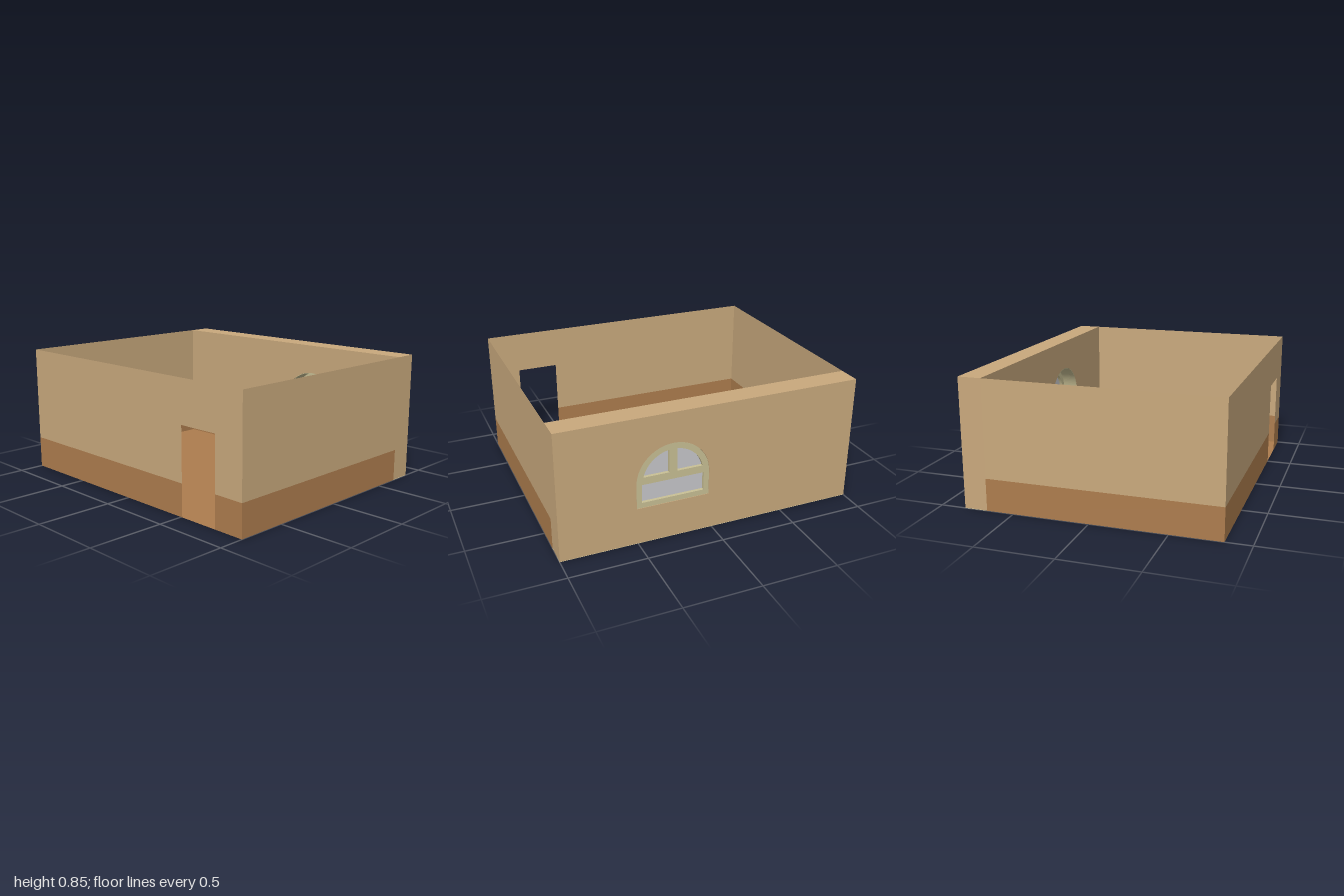
import * as THREE from 'three';

const W = 0.833, L = 1, H = 0.851;      // half width, half length, height
const IN = 0.68;                        // inner face of the thick wall
const BAND = 0.213;                     // height of the brown wainscot
const WZ = 0.2655, WY = 0.41, WR = 0.24, SILL = 0.247; // arched window

function material(name, color, side = THREE.DoubleSide) {
  return new THREE.MeshStandardMaterial({ name, color, side });
}

// Closed outline of an arched opening; u runs along -z
function arch(path, r, bottom) {
  path.moveTo(-WZ - r, bottom);
  path.lineTo(-WZ + r, bottom);
  path.lineTo(-WZ + r, WY);
  path.absarc(-WZ, WY, r, 0, Math.PI, false);
  path.closePath();
  return path;
}

function rectangle(path, u0, v0, u1, v1) {
  path.moveTo(u0, v0);
  path.lineTo(u1, v0);
  path.lineTo(u1, v1);
  path.lineTo(u0, v1);
  path.closePath();
  return path;
}

// Upper pane beside the mullion; s = -1 or 1 picks the side
function upperPane(s) {
  const r = 0.2, gap = 0.026, y0 = 0.455;
  const path = new THREE.Path();
  const a0 = Math.asin((y0 - WY) / r), a1 = Math.acos(gap / r);
  path.moveTo(-WZ + s * gap, y0);
  for (let i = 0; i <= 12; i++) {
    const a = a0 + (a1 - a0) * i / 12;
    path.lineTo(-WZ + s * r * Math.cos(a), WY + r * Math.sin(a));
  }
  path.closePath();
  return path;
}

export function createModel() {
  const model = new THREE.Group();
  model.name = 'room';
  const tan = material('wall plaster', 0xc9a97d);
  const brown = material('brown floor', 0xad7d4e);
  const cream = material('window frame', 0xc9c095);
  const grey = material('window glass', 0xc8c8cb);

  function add(name, geometry, mat, parent = model) {
    const mesh = new THREE.Mesh(geometry, mat);
    mesh.name = name;
    parent.add(mesh);
    return mesh;
  }
  // Extrude a shape drawn in (-z, y) from x0 to x1
  function slab(name, shape, x0, x1, mat, parent) {
    const g = new THREE.ExtrudeGeometry(shape, { depth: x1 - x0, bevelEnabled: false, curveSegments: 32 });
    g.rotateY(Math.PI / 2).translate(x0, 0, 0);
    return add(name, g, mat, parent);
  }

  // Floor
  const floor = new THREE.PlaneGeometry(W + IN, 2 * L).rotateX(-Math.PI / 2);
  add('floor', floor.translate((IN - W) / 2, 0, 0), brown);

  // Thin front and back walls, each with its wainscot
  for (const [name, s] of [['front', 1], ['back', -1]]) {
    for (const [part, y0, y1, mat] of [['Wainscot', 0, BAND, brown], ['Wall', BAND, H, tan]]) {
      const g = new THREE.PlaneGeometry(W + IN, y1 - y0);
      if (s < 0) g.rotateY(Math.PI);
      add(name + part, g.translate((IN - W) / 2, (y0 + y1) / 2, s * L), mat);
    }
  }

  // Thin left-hand side wall with a doorway
  const door0 = 0.51, door1 = 0.79, doorTop = 0.57;
  const upper = new THREE.Shape();
  for (const [z, y] of [[-L, BAND], [door0, BAND], [door0, doorTop], [door1, doorTop],
    [door1, BAND], [L, BAND], [L, H], [-L, H]]) {
    if (upper.curves.length || upper.currentPoint.x) upper.lineTo(z, y);
    else upper.moveTo(z, y);
  }
  upper.closePath();
  const lower = [rectangle(new THREE.Shape(), -L, 0, door0, BAND),
    rectangle(new THREE.Shape(), door1, 0, L, BAND)];
  for (const [name, shape, mat] of [['doorWall', upper, tan], ['doorWainscot', lower, brown]]) {
    const g = new THREE.ShapeGeometry(shape).rotateY(-Math.PI / 2);
    add(name, g.translate(-W, 0, 0), mat);
  }

  // Thick wall pierced by the arched window
  const thick = rectangle(new THREE.Shape(), -L, 0.002, L, H);
  thick.holes.push(arch(new THREE.Path(), WR, SILL));
  slab('thickWall', thick, IN, W, tan);
  const under = new THREE.PlaneGeometry(W - IN, 2 * L).rotateX(Math.PI / 2);
  add('thickWallBase', under.translate((W + IN) / 2, 0, 0), cream);
  const inner = new THREE.PlaneGeometry(2 * L, BAND).rotateY(-Math.PI / 2);
  add('thickWallWainscot', inner.translate(IN - 0.002, BAND / 2, 0), brown);

  // Window: reveal lining, frame with three openings, and glass
  const win = new THREE.Group();
  win.name = 'window';
  model.add(win);
  const lining = arch(new THREE.Shape(), WR - 0.0005, SILL + 0.0005);
  lining.holes.push(arch(new THREE.Path(), WR - 0.004, SILL + 0.004));
  slab('windowReveal', lining, IN + 0.001, 0.79, cream, win);

  const frame = arch(new THREE.Shape(), WR - 0.001, SILL + 0.001);
  frame.holes.push(rectangle(new THREE.Path(), -WZ - 0.204, 0.283, -WZ + 0.204, 0.406));
  frame.holes.push(upperPane(-1), upperPane(1));
  slab('windowFrame', frame, 0.785, W - 0.002, cream, win);

  const glass = arch(new THREE.Shape(), WR - 0.02, SILL + 0.02);
  slab('windowGlass', glass, 0.805, 0.81, grey, win);

  return model;
}
